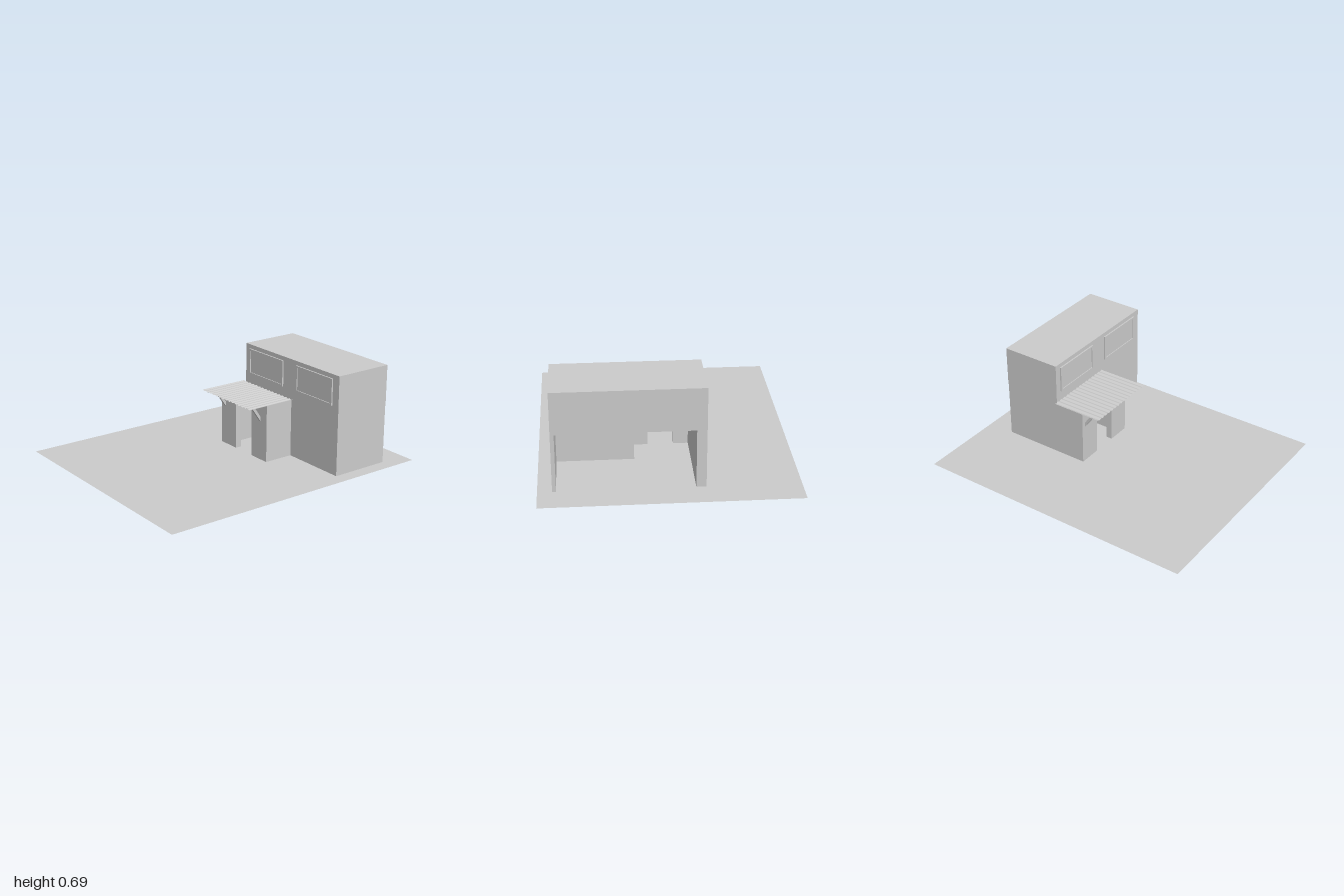
import * as THREE from 'three';

const material = new THREE.MeshStandardMaterial({ color: 0xcccccc, side: THREE.DoubleSide });

function add(parent, name, geometry) {
  const mesh = new THREE.Mesh(geometry, material);
  mesh.name = name;
  parent.add(mesh);
  return mesh;
}

// Box given by its bounds on each axis
function block(parent, name, [x0, x1], [y0, y1], [z0, z1]) {
  const mesh = add(parent, name, new THREE.BoxGeometry(x1 - x0, y1 - y0, z1 - z0));
  mesh.position.set((x0 + x1) / 2, (y0 + y1) / 2, (z0 + z1) / 2);
  return mesh;
}

// Wall run: floor-plan outline of [x, z] points raised to a height
function wallRun(parent, name, plan, height) {
  const shape = new THREE.Shape(plan.map(([x, z]) => new THREE.Vector2(x, -z)));
  const geometry = new THREE.ExtrudeGeometry(shape, { depth: height, bevelEnabled: false });
  add(parent, name, geometry.rotateX(-Math.PI / 2));
}

// Rectangular frame with a slightly recessed pane, on the wall facing -x
function windowUnit(parent, z0, z1) {
  const unit = new THREE.Group();
  unit.name = 'window';
  const y0 = 0.48, y1 = 0.665, b = 0.013, x = [0.375, 0.385];
  block(unit, 'windowSill', x, [y0, y0 + b], [z0, z1]);
  block(unit, 'windowHead', x, [y1 - b, y1], [z0, z1]);
  block(unit, 'windowJamb', x, [y0 + b, y1 - b], [z0, z0 + b]);
  block(unit, 'windowJamb', x, [y0 + b, y1 - b], [z1 - b, z1]);
  block(unit, 'windowPane', [0.381, 0.385], [y0 + b, y1 - b], [z0 + b, z1 - b]);
  parent.add(unit);
}

export function createModel() {
  const model = new THREE.Group();
  model.name = 'shopBuilding';

  // Ground sheet
  add(model, 'ground', new THREE.PlaneGeometry(2, 1.69).rotateX(-Math.PI / 2));

  // Upper storey over the open ground floor
  block(model, 'upperStorey', [0.385, 0.813], [0.405, 0.695], [-0.23, 0.75]);

  // Ground-floor walls on either side of the doorway; the +x side stays open
  const h = 0.405;
  wallRun(model, 'frontWalls', [
    [0.81, 0.75], [0.385, 0.75], [0.385, 0.275], [0.17, 0.275], [0.17, 0.11],
    [0.215, 0.11], [0.215, 0.21], [0.415, 0.21], [0.415, 0.725], [0.81, 0.725],
  ], h);
  wallRun(model, 'backWalls', [
    [0.81, -0.23], [0.17, -0.23], [0.17, -0.065],
    [0.215, -0.065], [0.215, -0.165], [0.81, -0.165],
  ], h);
  block(model, 'doorLintel', [0.17, 0.215], [0.355, h], [-0.065, 0.11]);

  // Windows above the porch
  windowUnit(model, -0.185, 0.185);
  windowUnit(model, 0.325, 0.69);

  // Corrugated awning with ridges running out from the wall
  const sheet = new THREE.PlaneGeometry(0.365, 0.545, 1, 120).rotateX(-Math.PI / 2);
  const p = sheet.attributes.position;
  for (let i = 0; i < p.count; i++) {
    const t = p.getZ(i) / 0.545 + 0.5;
    p.setY(i, 0.003 * Math.cos(t * 15 * 2 * Math.PI));
  }
  sheet.computeVertexNormals();
  add(model, 'awning', sheet).position.set(0.2025, 0.409, 0.0175);

  // Diagonal braces from the porch wall up to the awning
  for (const z of [-0.19, 0.2]) {
    const shape = new THREE.Shape([
      new THREE.Vector2(0.172, 0.275), new THREE.Vector2(0.172, 0.307),
      new THREE.Vector2(0.104, 0.406), new THREE.Vector2(0.08, 0.406),
    ]);
    const brace = new THREE.ExtrudeGeometry(shape, { depth: 0.018, bevelEnabled: false });
    add(model, 'awningBrace', brace).position.z = z - 0.009;
  }

  return model;
}
